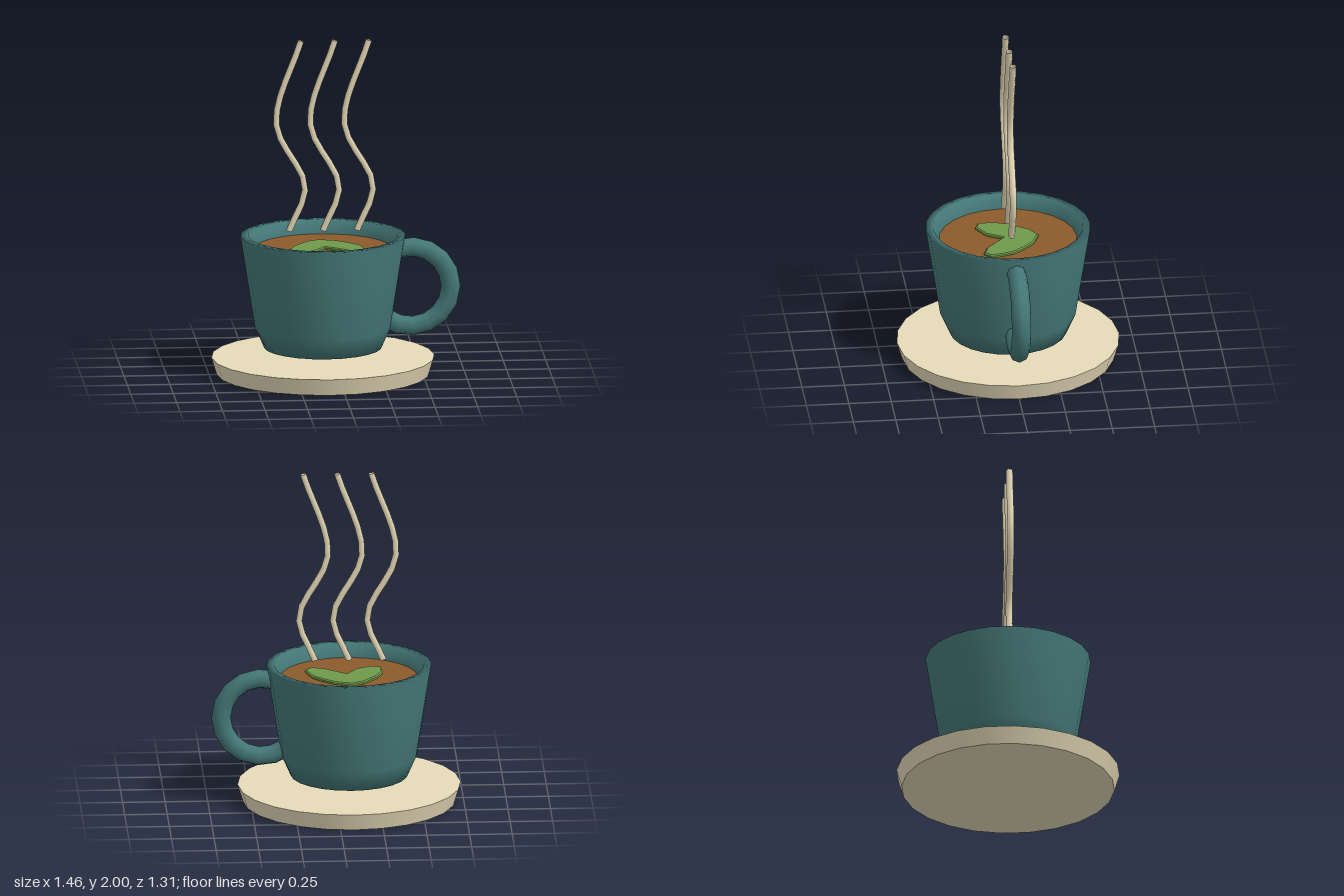
import * as THREE from 'three';

const CX = -0.08; // axis of cup and saucer

export function createModel() {
  const group = new THREE.Group();
  const mat = (color) => new THREE.MeshStandardMaterial({ color, side: THREE.DoubleSide });
  const ceramic = mat(0x457878);
  const cream = mat(0xe6dab8);

  const add = (name, geometry, material, x = 0, y = 0, z = 0) => {
    const mesh = new THREE.Mesh(geometry, material);
    mesh.name = name;
    mesh.position.set(x, y, z);
    group.add(mesh);
    return mesh;
  };

  // Saucer
  add('saucer', new THREE.CylinderGeometry(0.655, 0.625, 0.1, 24), cream, CX, 0.05);

  // Cup: outer wall, rim and inner wall in one profile
  const profile = [
    [0, 0.155], [0.345, 0.155], [0.4, 0.28], [0.485, 0.825],
    [0.44, 0.825], [0.405, 0.74], [0.34, 0.3], [0, 0.22],
  ].map(([r, y]) => new THREE.Vector2(r, y));
  add('cup', new THREE.LatheGeometry(profile, 24), ceramic, CX);

  // Tea surface
  const tea = add('tea', new THREE.CircleGeometry(0.406, 24), mat(0x8b5a2b), CX, 0.745);
  tea.rotation.x = -Math.PI / 2;

  // Handle: open ring whose ends sink into the cup wall
  const arc = 4.5;
  const handle = add('handle', new THREE.TorusGeometry(0.237, 0.057, 8, 12, arc), ceramic, 0.435, 0.51);
  handle.rotation.z = -arc / 2;

  // Pair of joined leaves floating on the tea, outline given as x, z
  const outline = [
    [-0.27, 0.15], [-0.22, 0.17], [-0.13, 0.12], [-0.07, 0.02], [0.06, 0.13], [0.13, 0.155],
    [0.165, 0.12], [0.15, 0.05], [0.13, -0.01], [0.08, -0.07], [0.01, -0.135], [-0.09, -0.172],
    [-0.16, -0.13], [-0.24, -0.02], [-0.272, 0.06],
  ].map(([x, z]) => new THREE.Vector2(x, -z));
  const leafGeometry = new THREE.ExtrudeGeometry(new THREE.Shape(outline), {
    depth: 0.01, bevelEnabled: true, bevelThickness: 0.006, bevelSize: 0.008, bevelSegments: 1,
  });
  const leaves = add('leaves', leafGeometry, mat(0x6f9a4b), 0, 0.747);
  leaves.rotation.x = -Math.PI / 2;

  // Three wavy strands of steam
  const wave = new THREE.CatmullRomCurve3([
    [-0.28, 0.855], [-0.185, 1.12], [-0.355, 1.5], [-0.21, 1.994],
  ].map(([x, y]) => new THREE.Vector3(x, y, 0)));
  for (let i = 0; i < 3; i++) {
    add('steam' + (i + 1), new THREE.TubeGeometry(wave, 14, 0.02, 6), cream, i * 0.2);
  }

  return group;
}
